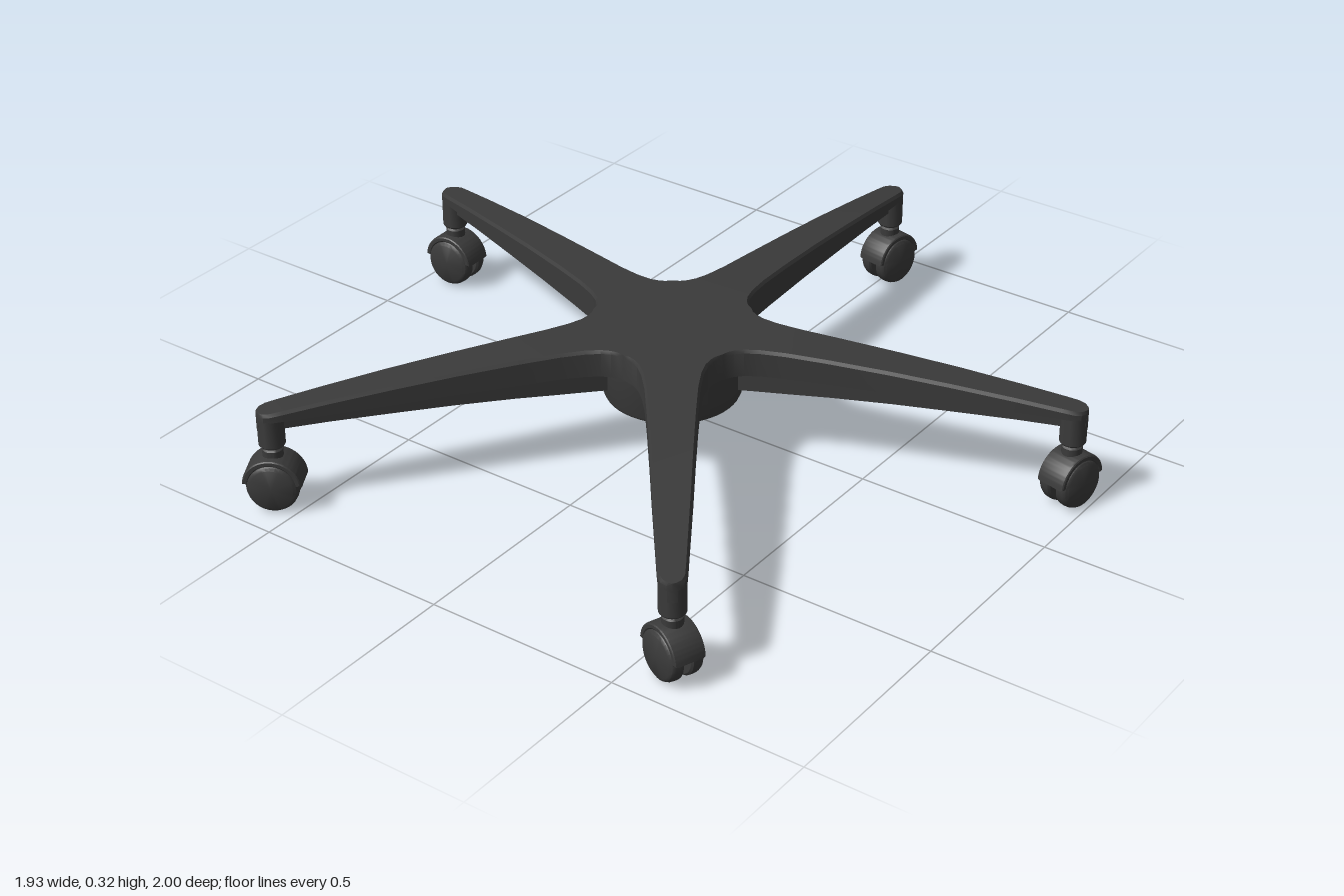
import * as THREE from 'three';
import { toCreasedNormals } from 'three/addons/utils/BufferGeometryUtils.js';

const material = new THREE.MeshStandardMaterial({ color: 0x3a3a3a, side: THREE.DoubleSide });
const CENTRE = [-0.1, 0.01];
const POST_RADIUS = 0.985;

function part(name, geometry, parent, x = 0, y = 0, z = 0) {
  const mesh = new THREE.Mesh(geometry, material);
  mesh.name = name;
  mesh.position.set(x, y, z);
  parent.add(mesh);
  return mesh;
}

const lathe = (points, segments) =>
  toCreasedNormals(new THREE.LatheGeometry(points.map(p => new THREE.Vector2(...p)), segments), 0.6);

// One fifth of the star: a flat-topped beam with a thin rib along its underside, lofted along +x
function armGeometry() {
  // distance from hub centre, half width, height of the rib's lower edge
  const stations = [
    [0, 0, 0.2], [0.162, 0.1177, 0.166], [0.171, 0.107, 0.167], [0.184, 0.095, 0.168],
    [0.205, 0.083, 0.17], [0.24, 0.073, 0.173], [0.3, 0.065, 0.178], [0.4, 0.059, 0.187],
    [0.55, 0.052, 0.197], [0.7, 0.046, 0.204], [0.85, 0.039, 0.21], [0.96, 0.034, 0.212],
    [0.99, 0.032, 0.212], [1.006, 0.025, 0.212], [1.015, 0.013, 0.212], [1.018, 0, 0.212],
  ];
  const rings = stations.map(([a, w, low], i) => {
    const top = 0.325 - 0.06 * a * a;
    const rim = 0.255 - 0.012 * a;
    const soft = i > 1 ? Math.min(0.005, w) : 0; // eased top edge, none on the seams
    const rib = Math.min(0.012, w);
    const half = [[a, low, rib], [a, rim, rib], [a, rim, w], [a, top - soft * 1.6, w], [a, top, w - soft]];
    return [...half, ...half.map(([x, y, z]) => [x, y, -z]).reverse()];
  });
  const n = rings[0].length;
  const index = [];
  for (let i = 0; i < rings.length - 1; i++) {
    for (let j = 0; j < n; j++) {
      const a = i * n + j, c = i * n + (j + 1) % n;
      index.push(a, a + n, c, a + n, c + n, c);
    }
  }
  const g = new THREE.BufferGeometry();
  g.setAttribute('position', new THREE.Float32BufferAttribute(rings.flat(2), 3));
  g.setIndex(index);
  return toCreasedNormals(g, 0.5);
}

// Arc cover over both wheels
function hoodGeometry() {
  const start = 0.12, end = Math.PI - 0.12;
  const shape = new THREE.Shape();
  shape.absarc(0, 0, 0.068, start, end, false);
  shape.absarc(0, 0, 0.06, end, start, true);
  shape.closePath();
  const g = new THREE.ExtrudeGeometry(shape, {
    depth: 0.064, bevelEnabled: true, bevelSize: 0.004, bevelThickness: 0.008,
    bevelSegments: 2, curveSegments: 20,
  });
  g.translate(0, 0, -0.032);
  return toCreasedNormals(g, 0.6);
}

// Wheel with a rounded shoulder, outer face towards +y
const wheel = lathe([[0, -0.016], [0.058, -0.016], [0.063, -0.012], [0.064, -0.004],
  [0.063, 0.007], [0.059, 0.015], [0.052, 0.019], [0, 0.021]], 32);
const post = lathe([[0, 0.168], [0.029, 0.168], [0.032, 0.172], [0.032, 0.245], [0, 0.245]], 24);
const neck = lathe([[0, 0.12], [0.025, 0.12], [0.025, 0.158], [0.02, 0.162], [0.02, 0.175], [0, 0.175]], 20);
const hood = hoodGeometry();
const core = new THREE.CylinderGeometry(0.052, 0.052, 0.018, 28, 1, false, Math.PI / 2, Math.PI);
const axle = new THREE.CylinderGeometry(0.014, 0.014, 0.06, 16);

// Twin-wheel caster rolling along its local x
function createCaster() {
  const caster = new THREE.Group();
  caster.name = 'caster';
  part('casterNeck', neck, caster);
  part('casterHood', hood, caster, 0, 0.071, 0);
  part('casterCore', core, caster, 0, 0.071, 0).rotation.x = Math.PI / 2;
  part('casterAxle', axle, caster, 0, 0.067, 0).rotation.x = Math.PI / 2;
  for (const side of [-1, 1]) {
    part('casterWheel', wheel, caster, 0, 0.067, side * 0.025).rotation.x = side * Math.PI / 2;
  }
  return caster;
}

export function createModel() {
  const model = new THREE.Group();
  model.name = 'swivelChairBase';
  const base = new THREE.Group();
  base.name = 'starBase';
  base.position.set(CENTRE[0], 0, CENTRE[1]);
  model.add(base);

  // Central hub drum
  part('hub', lathe([[0, 0.13], [0.155, 0.13], [0.166, 0.134], [0.17, 0.143], [0.17, 0.275], [0, 0.275]], 48), base);

  // Five arms with sockets and individually turned casters (rolling direction x, z)
  const arm = armGeometry();
  const rolling = [[0.97, 0.2], [0.03, 1], [0.5, 0.87], [-0.35, 0.94], [0.97, 0.22]];
  rolling.forEach(([dx, dz], i) => {
    const angle = i * Math.PI * 2 / 5;
    part('arm', arm, base).rotation.y = angle;
    const x = POST_RADIUS * Math.cos(angle), z = -POST_RADIUS * Math.sin(angle);
    part('casterSocket', post, base, x, 0, z);
    const caster = createCaster();
    caster.position.set(x, 0, z);
    caster.rotation.y = Math.atan2(-dz, dx);
    base.add(caster);
  });
  return model;
}
